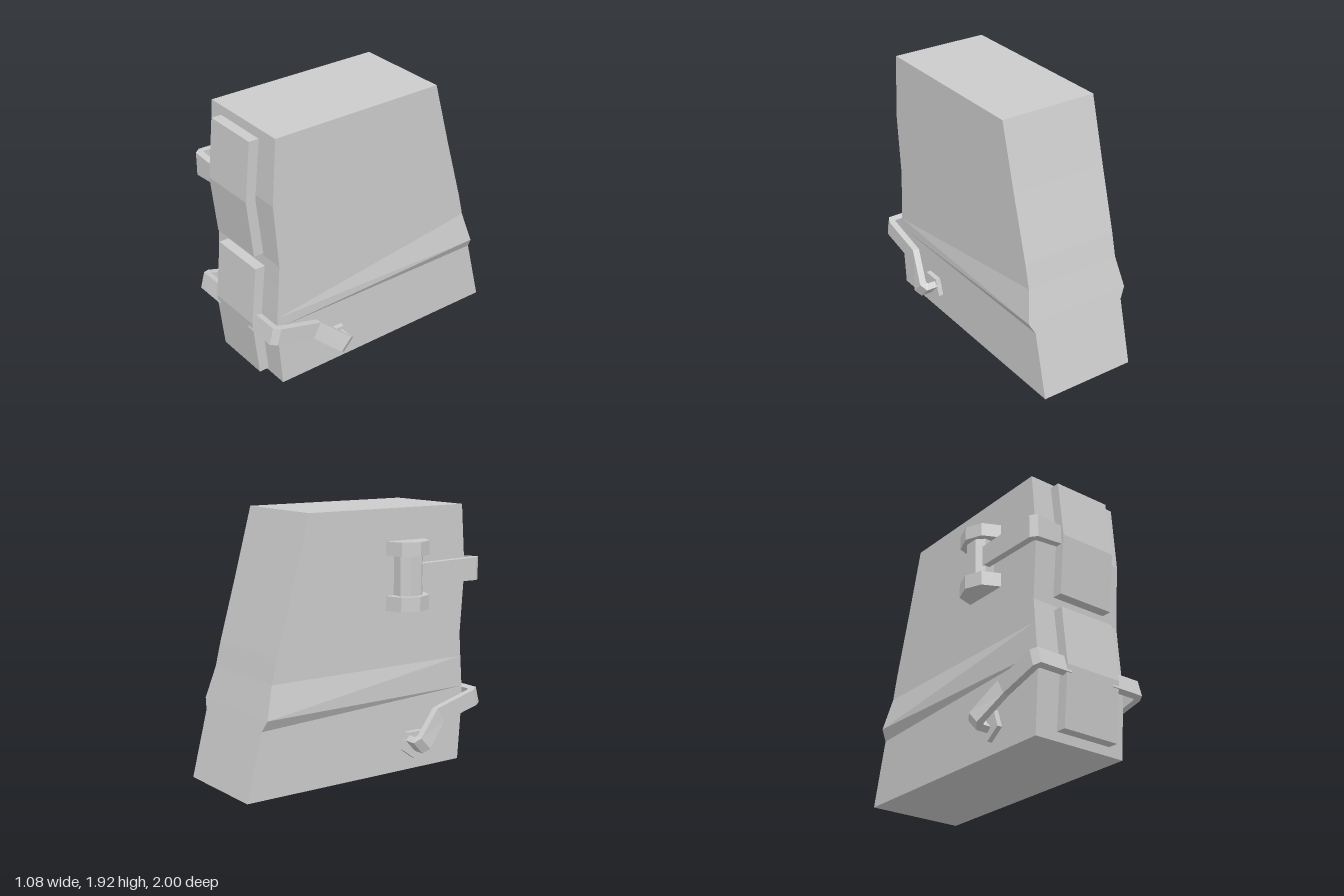
import * as THREE from 'three';

const material = new THREE.MeshStandardMaterial({ color: 0xcccccc, flatShading: true });

// Skin a series of convex rings (counter-clockwise about the direction of travel) and cap both ends.
function loft(name, rings) {
  const n = rings[0].length, pos = [];
  const tri = (a, b, c) => pos.push(...a, ...b, ...c);
  for (let r = 0; r < rings.length - 1; r++) {
    const a = rings[r], b = rings[r + 1];
    for (let i = 0; i < n; i++) {
      const j = (i + 1) % n;
      tri(a[i], a[j], b[j]);
      tri(a[i], b[j], b[i]);
    }
  }
  const first = rings[0], last = rings[rings.length - 1];
  for (let i = 1; i < n - 1; i++) {
    tri(first[0], first[i + 1], first[i]);
    tri(last[0], last[i], last[i + 1]);
  }
  const geometry = new THREE.BufferGeometry();
  geometry.setAttribute('position', new THREE.Float32BufferAttribute(pos, 3));
  geometry.computeVertexNormals();
  const mesh = new THREE.Mesh(geometry, material);
  mesh.name = name;
  return mesh;
}

// Horizontal four-cornered ring; flare widens the back edge only.
const level = (y, x0, x1, zBack, zFront, flare = 0) => [
  [x1, y, zFront], [x1 + flare, y, zBack], [x0 - flare, y, zBack], [x0, y, zFront]];

// Mitred flat bar. Each point is [x, y, z, tilt of the wide side, width].
function bar(name, points, thickness) {
  const p = points.map(q => new THREE.Vector3(q[0], q[1], q[2]));
  const rings = points.map(([, , , tilt, width], i) => {
    const w = new THREE.Vector3(0, Math.cos(tilt), -Math.sin(tilt));
    const normal = k => w.clone().cross(p[k + 1].clone().sub(p[k])).normalize();
    const n1 = normal(Math.max(i - 1, 0)), n2 = normal(Math.min(i, p.length - 2));
    const n = n1.clone().add(n2).normalize();
    n.multiplyScalar(thickness / 2 / n.dot(n1));
    return [[1, 1], [-1, 1], [-1, -1], [1, -1]].map(([a, b]) =>
      p[i].clone().addScaledVector(n, a).addScaledVector(w, b * width / 2).toArray());
  });
  return loft(name, rings);
}

export function createModel() {
  const model = new THREE.Group();
  model.name = 'case';

  // Wedge-shaped body: two shallow front bulges and a flared ridge low on the sides
  const L = -0.365, R = 0.38;
  model.add(loft('body', [
    level(0, L, R, -1, 0.855),
    level(0.48, L, R, -0.88, 0.89),
    level(0.56, L, R, -0.86, 0.885, 0.044),
    level(0.79, L, R, -0.797, 0.867),
    level(0.965, L, R, -0.755, 0.855),
    level(1.44, L, R, -0.62, 0.89),
    level(1.92, L, R, -0.49, 0.855)]));

  // Bent front panels
  for (const [name, x0, x1, y0, y1] of [
    ['lowerPanel', -0.21, 0.24, 0.055, 0.915],
    ['upperPanel', -0.215, 0.23, 1.01, 1.87]]) {
    model.add(loft(name, [
      level(y0, x0, x1, 0.88, 0.955),
      level((y0 + y1) / 2, x0, x1, 0.925, 1),
      level(y1, x0, x1, 0.88, 0.955)]));
  }

  // Lower side arms with their pivot bosses
  const armPath = [
    [0.18, 0.485, 0.96, 0.27, 0.125],
    [0.425, 0.485, 0.96, 0.27, 0.125],
    [0.442, 0.477, 0.93, 0.27, 0.125],
    [0.435, 0.39, 0.61, 0.5, 0.125],
    [0.505, 0.225, 0.415, 0.75, 0.125],
    [0.485, 0.205, 0.385, 0.75, 0.125],
    [0.36, 0.205, 0.385, 0.75, 0.125]];
  for (const side of [-1, 1]) {
    const label = side > 0 ? 'left' : 'right';
    model.add(bar(label + 'LowerArm',
      armPath.map(([x, ...rest]) => [0.007 + side * x, ...rest]), 0.05));
    const boss = new THREE.Mesh(
      new THREE.CylinderGeometry(0.113, 0.113, 0.07, 5).rotateZ(Math.PI / 2).rotateX(Math.PI / 2), material);
    boss.name = label + 'PivotBoss';
    boss.position.set(0.007 + side * 0.375, 0.197, 0.41);
    model.add(boss);
  }

  // Upper arm reaching back to the hinge
  model.add(bar('upperArm', [
    [-0.18, 1.45, 0.95, 0, 0.135],
    [-0.405, 1.45, 0.95, 0, 0.17],
    [-0.43, 1.45, 0.92, 0, 0.17],
    [-0.43, 1.45, 0.36, 0, 0.15]], 0.05));

  // Hinge: slim post between two wider angular lugs
  const prism = (name, y0, y1, outline) =>
    model.add(loft(name, [y0, y1].map(y => outline.map(([x, z]) => [x, y, z]))));
  const lug = [[-0.33, 0.51], [-0.33, 0.16], [-0.365, 0.16], [-0.49, 0.2],
    [-0.54, 0.33], [-0.49, 0.45], [-0.365, 0.51]];
  const post = [[-0.33, 0.43], [-0.33, 0.23], [-0.44, 0.23], [-0.49, 0.28],
    [-0.49, 0.38], [-0.44, 0.43]];
  prism('hingeLugLower', 1.2, 1.305, lug);
  prism('hingePost', 1.305, 1.59, post);
  prism('hingeLugUpper', 1.59, 1.69, lug);

  return model;
}
